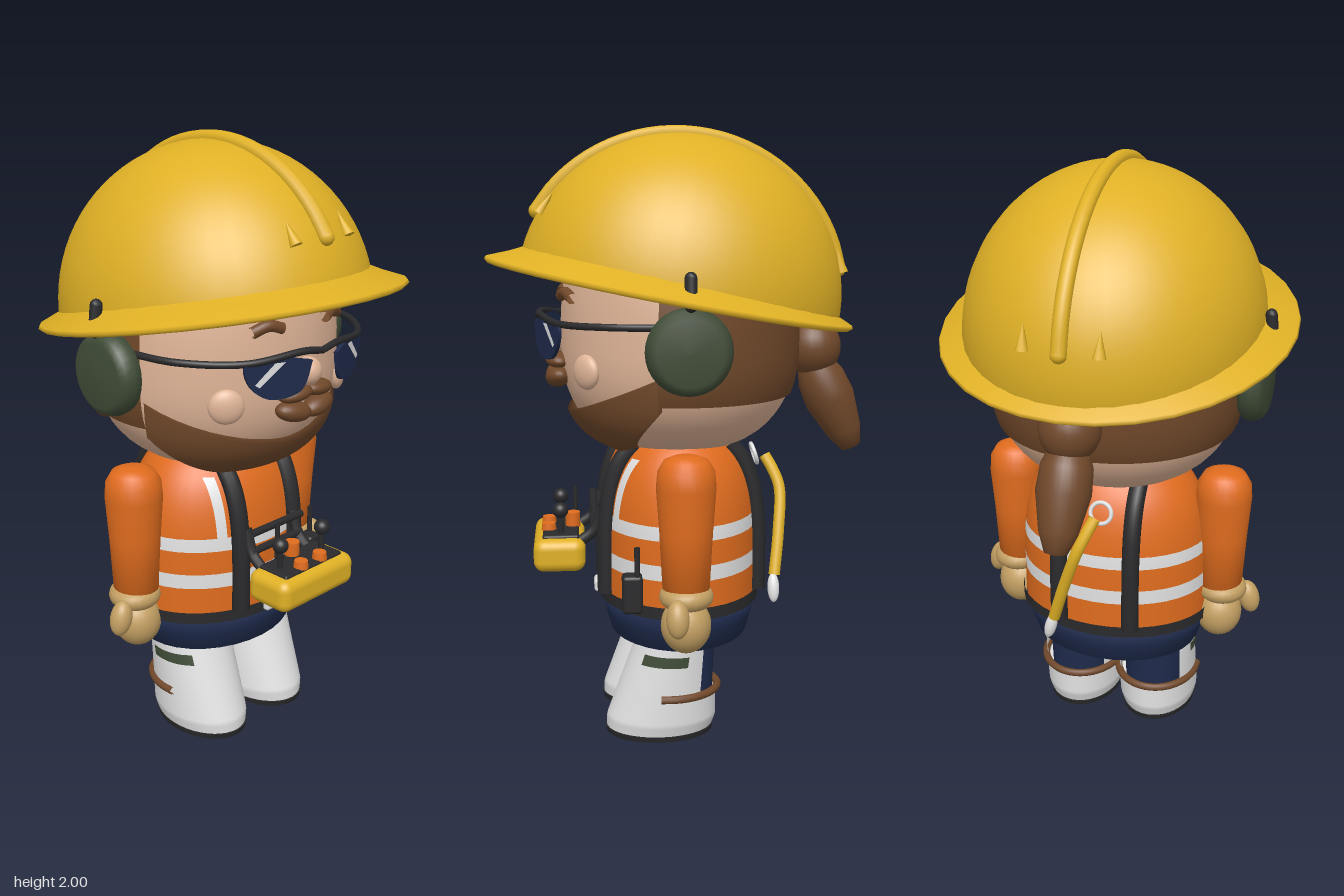
import * as THREE from 'three';
import { ParametricGeometry } from 'three/addons/geometries/ParametricGeometry.js';
import { RoundedBoxGeometry } from 'three/addons/geometries/RoundedBoxGeometry.js';

const colours = {
  yellow: 0xdfb025, orange: 0xe06c1e, skin: 0xdfb497, brown: 0x70482a, navy: 0x1f2b4c,
  white: 0xe2e2e2, black: 0x2a2a2c, olive: 0x404c37, tan: 0xc4a063,
};
const M = {};
for (const [name, color] of Object.entries(colours)) {
  M[name] = new THREE.MeshStandardMaterial({ color, side: THREE.DoubleSide });
  M[name].name = name;
}

const V = (x, y, z) => new THREE.Vector3(x, y, z);
const rad = THREE.MathUtils.degToRad;

// Radius of the head and the torso at a height, and their depth to width ratios
const HEAD_Z = 0.95, BODY_Z = 0.8;
const headR = y => 0.41 * Math.max(0, 1 - Math.abs((y - 1.3) / (y < 1.3 ? 0.36 : 0.6)) ** 2.4) ** (1 / 2.4);
const bodyR = y => 0.33 * Math.sqrt(Math.max(0, 1 - (Math.max(0, y - 0.5) / 0.56) ** 4));
const bodyZ = (x, y) => BODY_Z * Math.sqrt(Math.max(0, bodyR(y) ** 2 - x * x));
const onHead = off => (a, y) => V((headR(y) + off) * Math.sin(a), y, (headR(y) + off) * HEAD_Z * Math.cos(a));
const onBody = off => (a, y) => V((bodyR(y) + off) * Math.sin(a), y, (bodyR(y) + off) * BODY_Z * Math.cos(a));

// One boot around its own leg axis: straight heel, sloping shin
const onBoot = k => (a, y) => {
  const front = 0.275 - 0.37 * y, back = -0.113;
  const s = k * (y < 0.05 ? 0.94 + 1.9 * (y - 0.02) : 1);
  return V(0.138 * s * Math.sin(a), y, (front + back) / 2 + (front - back) / 2 * s * Math.cos(a));
};

export function createModel() {
  const root = new THREE.Group();
  root.name = 'worker';

  const add = (name, geo, mat, pos = [0, 0, 0], rot = [0, 0, 0], scale = [1, 1, 1], parent = root) => {
    const mesh = new THREE.Mesh(geo, mat);
    mesh.name = name;
    mesh.position.set(...pos);
    mesh.rotation.set(...rot);
    mesh.scale.set(...scale);
    parent.add(mesh);
    return mesh;
  };
  const ball = (name, mat, pos, scale, rot) =>
    add(name, new THREE.SphereGeometry(1, 24, 16), mat, pos, rot, scale);
  const lathe = (name, pts, mat, pos, rot, scale, parent, n = 32) =>
    add(name, new THREE.LatheGeometry(pts.map(p => new THREE.Vector2(...p)), n), mat, pos, rot, scale, parent);
  const tube = (name, pts, r, mat, parent = root) =>
    add(name, new THREE.TubeGeometry(new THREE.CatmullRomCurve3(pts.map(p => V(...p))), 32, r, 10), mat,
      undefined, undefined, undefined, parent);
  // A patch of a surface fn(a, y) between two angles and two heights
  const patch = (name, fn, a0, a1, y0, y1, mat, nu = 40, nv = 8, parent = root) =>
    add(name, new ParametricGeometry((u, v, t) => t.copy(fn(a0 + (a1 - a0) * u, y0 + (y1 - y0) * v)), nu, nv), mat,
      undefined, undefined, undefined, parent);
  const TAU = Math.PI * 2;

  // Hard hat, tipped back
  const hat = new THREE.Group();
  hat.name = 'hardHat';
  hat.position.set(0, 1.46, -0.005);
  hat.rotation.x = -0.19;
  root.add(hat);
  const [hx, hy, hz] = [0.482, 0.515, 0.535];
  add('hatDome', new THREE.SphereGeometry(1, 40, 20, 0, TAU, 0, Math.PI / 2), M.yellow,
    undefined, undefined, [hx, hy, hz], hat);
  lathe('hatBrim', [[0.41, -0.005], [0.5, 0], [0.605, -0.012], [0.615, -0.004], [0.61, 0.006], [0.54, 0.035], [0.49, 0.06]],
    M.yellow, [0, 0, 0.033], undefined, [0.94, 1, 1], hat);
  const arc = [];
  for (let d = 20; d <= 160; d += 10) arc.push([0, hy * Math.sin(rad(d)), hz * 1.01 * Math.cos(rad(d))]);
  tube('hatRidge', arc, 0.025, M.yellow, hat);
  for (const end of [arc[0], arc.at(-1)])
    add('hatRidgeEnd', new THREE.SphereGeometry(0.025, 12, 8), M.yellow, end, undefined, undefined, hat);
  for (const x of [-0.115, 0.115]) for (const s of [1, -1])
    add('hatNib', new THREE.ConeGeometry(0.02, 0.08, 10), M.yellow,
      [x, hy * 0.4, s * hz * 0.895], [-s * 0.4, 0, 0], undefined, hat);

  // Head, hair and ponytail
  patch('head', onHead(0), 0, TAU, 0.941, 1.75, M.skin, 48, 32);
  patch('hair', onHead(0.012), rad(76), rad(284), 1.14, 1.55, M.brown, 40, 12);
  ball('hairBun', M.brown, [0, 1.28, -0.455], [0.095, 0.1, 0.095]);
  lathe('ponytail', [[0, 0], [0.035, 0.008], [0.06, 0.07], [0.085, 0.19], [0.08, 0.27], [0.05, 0.35], [0, 0.37]],
    M.brown, [0, 0.93, -0.6], [0.44, 0, 0]);

  // Beard wrapping the jaw, its edges sunk into the head
  const beardEnd = rad(78);
  add('beard', new ParametricGeometry((u, v, t) => {
    const a = (u * 2 - 1) * beardEnd, k = Math.abs(u * 2 - 1);
    const low = 0.932 + 0.2 * k ** 3, high = 1.09 + 0.15 * k ** 1.6;
    const y = low + (high - low) * v;
    const full = 0.41 * Math.max(0, 1 - Math.abs((1.3 - y) / 0.375) ** 3.5) ** (1 / 2.4) + 0.006;
    const edge = v === 0 || v === 1 || k === 1;
    const r = edge ? headR(y) - 0.02 : full;
    t.set(r * Math.sin(a), y, r * HEAD_Z * Math.cos(a));
  }, 48, 16), M.brown);

  // Face
  ball('nose', M.skin, [0, 1.315, 0.405], [0.045, 0.045, 0.045]);
  for (const s of [1, -1]) {
    ball('cheek', M.skin, [s * 0.255, 1.235, 0.31], [0.056, 0.055, 0.026], [0, s * 0.65, 0]);
    ball('moustache', M.brown, [s * 0.05, 1.253, 0.4], [0.062, 0.026, 0.04], [0, s * 0.15, s * -0.1]);
    ball('lip', M.brown, [s * 0.055, 1.196, 0.4], [0.066, 0.033, 0.04], [0, s * 0.15, s * 0.2]);
    tube('eyebrow', [[s * 0.095, 1.462, 0.385], [s * 0.14, 1.475, 0.372], [s * 0.19, 1.457, 0.35]], 0.018, M.brown);

    // Sunglasses
    const lens = new THREE.Group();
    lens.name = 'lens';
    lens.position.set(s * 0.15, 1.33, 0.425);
    lens.rotation.y = s * 0.36;
    root.add(lens);
    const outline = [[-0.105, 0.045], [0, 0.062], [0.11, 0.055], [0.1, -0.015], [0.03, -0.062], [-0.07, -0.045], [-0.105, 0.045]];
    const shape = new THREE.Shape(new THREE.SplineCurve(outline.map(([x, y]) => new THREE.Vector2(s * x, y))).getPoints(36));
    add('lensGlass', new THREE.ExtrudeGeometry(shape, { depth: 0.012, bevelEnabled: false }), M.navy,
      undefined, undefined, undefined, lens);
    const glare = new THREE.Shape([[-0.015, 0.05], [0.02, 0.05], [0.085, -0.01], [0.07, -0.02]]
      .map(([x, y]) => new THREE.Vector2(s * x, y)));
    add('lensGlare', new THREE.ShapeGeometry(glare), M.white, [0, 0, 0.014], undefined, undefined, lens);
    tube('glassesFrame', [[0, 1.392, 0.462], [s * 0.07, 1.402, 0.455], [s * 0.25, 1.385, 0.392],
      [s * 0.385, 1.385, 0.24], [s * 0.425, 1.385, 0.03]], 0.011, M.black);

    // Ear defenders and their hat clips
    lathe('earMuff', [[0, 0], [0.11, 0], [0.128, 0.015], [0.132, 0.04], [0.122, 0.068], [0.1, 0.083], [0, 0.085]],
      M.olive, [s * 0.42, 1.317, 0.01], [0, 0, -s * Math.PI / 2]);
    add('muffClip', new THREE.CapsuleGeometry(0.019, 0.08, 4, 10), M.black, [s * 0.5, 1.495, 0.01], [0, 0, s * 0.12]);
  }

  // Torso: orange vest with reflective bands
  const levels = [0.46, 0.57, 0.62, 0.7, 0.745, 1.045];
  for (let i = 0; i < 5; i++)
    patch(i % 2 ? 'vestBand' : 'vest', onBody(0), 0, TAU, levels[i], levels[i + 1], i % 2 ? M.white : M.orange, 40, i === 4 ? 14 : 4);
  lathe('neck', [[0.2, 0.9], [0.2, 1.05]], M.skin, undefined, undefined, [1, 1, BODY_Z]);
  add('collar', new THREE.TorusGeometry(0.205, 0.02, 10, 40), M.orange, [0, 0.995, 0], [Math.PI / 2, 0, 0], [1, BODY_Z, 1]);
  for (const x of [-0.195, 0.165])
    patch('vestStripe', (px, y) => V(px, y, bodyZ(px, y) + 0.005), x, x + 0.03, 0.745, 0.94, M.white, 2, 10);
  patch('belt', onBody(0.01), 0, TAU, 0.445, 0.485, M.black, 40, 2);
  add('buckle', new RoundedBoxGeometry(0.07, 0.045, 0.03, 3, 0.012), M.white, [0, 0.47, 0.275]);
  lathe('hips', [[0, 0.305], [0.26, 0.31], [0.292, 0.325], [0.315, 0.39], [0.332, 0.45], [0, 0.46]],
    M.navy, undefined, undefined, [1, 1, BODY_Z]);

  // Harness straps over both shoulders
  for (const s of [1, -1]) for (const f of [1, -1]) {
    const pts = [0.48, 0.6, 0.72, 0.84, 0.92, 0.98].map(y => [s * 0.125, y, f * (bodyZ(0.125, y) + 0.008)]);
    tube('harnessStrap', pts, 0.03, M.black);
  }

  // Remote control box on its frame
  add('controlBox', new RoundedBoxGeometry(0.345, 0.11, 0.17, 4, 0.035), M.yellow, [0, 0.615, 0.405]);
  add('controlPanel', new RoundedBoxGeometry(0.27, 0.02, 0.12, 2, 0.008), M.black, [0, 0.669, 0.4]);
  for (const s of [1, -1]) {
    tube('boxArm', [[s * 0.11, 0.77, 0.26], [s * 0.11, 0.69, 0.29], [s * 0.11, 0.65, 0.34]], 0.018, M.black);
    tube('joystick', [[s * 0.1, 0.67, 0.4], [s * 0.1, 0.75, 0.4]], 0.01, M.black);
    ball('joystickKnob', M.black, [s * 0.1, 0.757, 0.4], [0.026, 0.026, 0.026]);
    add('panelKnob', new THREE.CylinderGeometry(0.022, 0.025, 0.025, 16), M.orange, [s * 0.045, 0.688, 0.44]);
  }
  for (const y of [0.7, 0.765]) tube('frameBar', [[-0.12, y, 0.29], [0.12, y, 0.29]], 0.013, M.black);
  tube('boxAntenna', [[-0.06, 0.67, 0.35], [-0.06, 0.8, 0.35]], 0.008, M.black);
  add('stopButton', new THREE.CylinderGeometry(0.025, 0.025, 0.05, 16), M.orange, [0, 0.7, 0.36]);

  // Radio on the left hip
  add('radio', new RoundedBoxGeometry(0.06, 0.125, 0.065, 3, 0.012), M.black, [0.3, 0.53, 0.175]);
  tube('radioAntenna', [[0.318, 0.58, 0.16], [0.318, 0.685, 0.16]], 0.009, M.black);

  // Lanyard on the back with its ring and tip
  tube('lanyard', [[-0.02, 0.905, -0.3], [0, 0.86, -0.325], [0.025, 0.8, -0.345], [0.075, 0.66, -0.335], [0.12, 0.52, -0.315]],
    0.02, M.yellow);
  ball('lanyardTip', M.white, [0.135, 0.48, -0.31], [0.02, 0.05, 0.02], [0, 0, 0.25]);
  add('lanyardRing', new THREE.TorusGeometry(0.035, 0.007, 8, 24), M.white, [-0.03, 0.91, -0.265], [0.3, 0, 0]);

  for (const s of [1, -1]) {
    // Sleeves and gloves
    lathe('sleeve', [[0, 0.56], [0.074, 0.56], [0.084, 0.75], [0.094, 0.89], [0.09, 0.94], [0.07, 0.975], [0.04, 0.988], [0, 0.99]],
      M.orange, [s * 0.372, 0, 0.01], undefined, undefined, undefined, 24);
    add('gloveCuff', new THREE.TorusGeometry(0.052, 0.034, 12, 24), M.tan, [s * 0.378, 0.542, 0.01], [Math.PI / 2, 0, 0]);
    ball('gloveHand', M.tan, [s * 0.37, 0.445, 0.01], [0.08, 0.09, 0.08]);
    ball('gloveThumb', M.tan, [s * 0.468, 0.498, 0.045], [0.036, 0.06, 0.036], [0, 0, s * 0.25]);

    // Legs and boots, open at the back above the heel
    const leg = new THREE.Group();
    leg.name = 'leg';
    leg.position.x = s * 0.142;
    root.add(leg);
    add('trouserLeg', new THREE.CylinderGeometry(0.11, 0.1, 0.23, 24), M.navy, [0, 0.225, 0], undefined, undefined, leg);
    patch('bootFoot', onBoot(1), 0, TAU, 0.018, 0.14, M.white, 40, 8, leg);
    patch('bootShin', onBoot(1), rad(-128), rad(128), 0.14, 0.33, M.white, 32, 6, leg);
    add('bootTop', new THREE.CylinderGeometry(0.13, 0.13, 0.006, 32), M.white, [0, 0.137, 0.055], undefined, [1, 1, 1.25], leg);
    add('sole', new THREE.CylinderGeometry(1, 0.97, 0.02, 32), M.black, [0, 0.01, 0.078], undefined, [0.133, 1, 0.184], leg);
    const heel = [];
    for (let d = 80; d <= 280; d += 20) heel.push(onBoot(1.03)(rad(d), 0.155).toArray());
    tube('heelStrap', heel, 0.013, M.brown, leg);
    for (const side of [1, -1]) {
      const a = [rad(side * 42), rad(side * 105)].sort((p, q) => p - q);
      patch('shinStrap', onBoot(1.025), a[0], a[1], 0.262, 0.298, M.olive, 12, 2, leg);
    }
  }
  return root;
}
